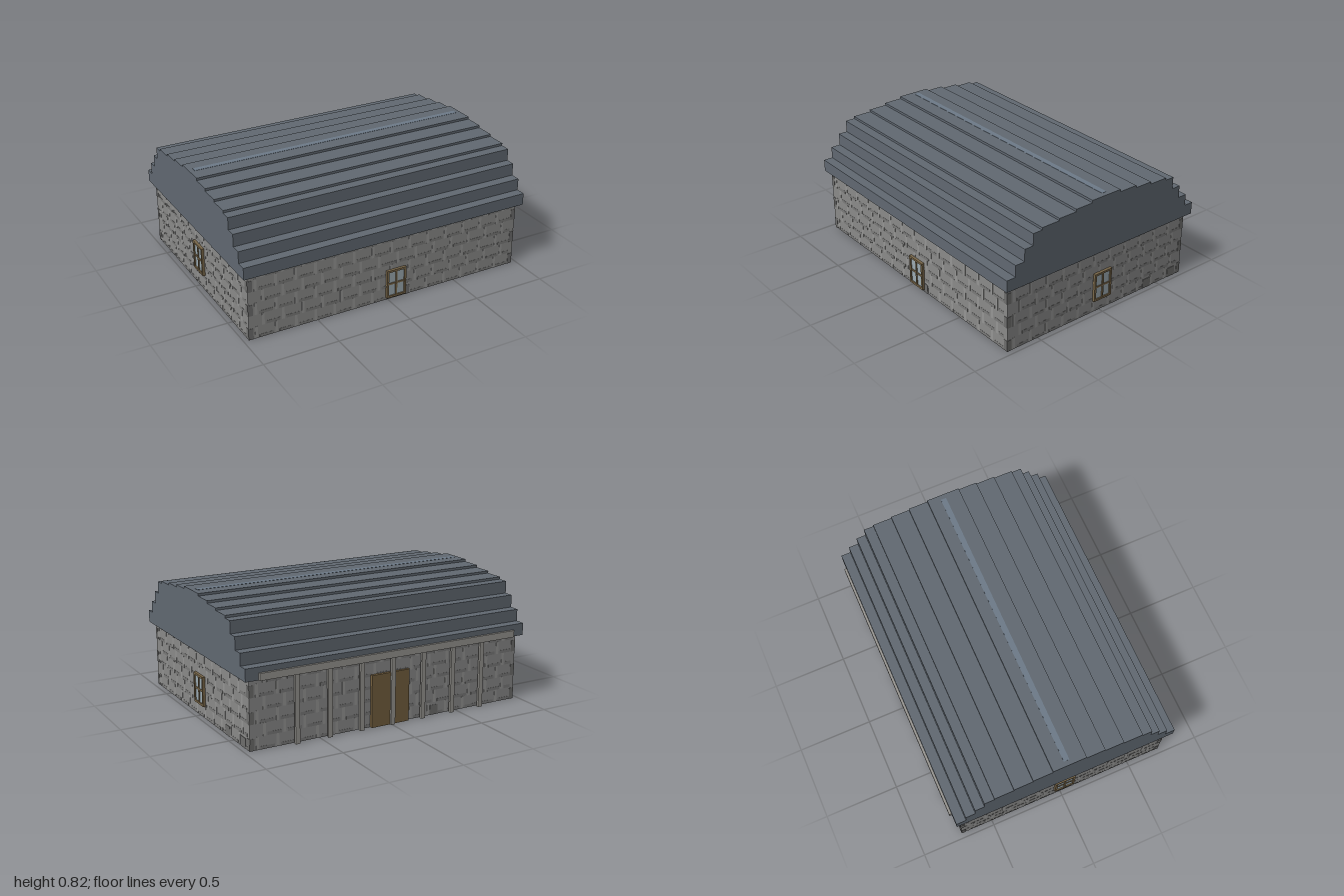
import * as THREE from 'three';

const mat = (color) => new THREE.MeshStandardMaterial({ color, flatShading: true });
const M = {
  stone: mat(0x8b8b8a), course: mat(0x7b7b7a), joint: mat(0x979796), dark: mat(0x6e6e6d),
  roof: mat(0x616972), ridge: mat(0x6d7a88), wood: mat(0x7a684a), door: mat(0x75603f),
  glass: mat(0x9dabb2), timber: mat(0x999792),
};

// Box given by its minimum and maximum along each axis
function block(parent, name, material, [x0, x1], [y0, y1], [z0, z1]) {
  const mesh = new THREE.Mesh(new THREE.BoxGeometry(x1 - x0, y1 - y0, z1 - z0), material);
  mesh.position.set((x0 + x1) / 2, (y0 + y1) / 2, (z0 + z1) / 2);
  mesh.name = name;
  parent.add(mesh);
  return mesh;
}

const X = 0.965, ZF = 0.733, ZB = -0.717, EAVE = 0.44, ROW = 0.082;

// Faintly raised masonry on a wall facing local +z, centred on local x = 0
function masonry(width) {
  const g = new THREE.Group();
  g.name = 'masonry';
  const half = width / 2, n = Math.round((width - 0.06) / 0.13), pitch = (width - 0.06) / n;
  for (let r = 0; r < 6; r++) {
    const y = r * ROW, top = Math.min(y + ROW, EAVE);
    const shift = r % 2 ? 0.5 : 0.15;
    for (let i = 0; i < n; i++) {
      const x = -half + 0.03 + (i + shift) * pitch;
      block(g, 'uprightJoint', M.joint, [x - 0.009, x + 0.009], [y, top], [0, 0.0015]);
      const end = Math.min(x + pitch - 0.02, half - 0.03);
      if (end > x + 0.03) block(g, 'courseJoint', M.course, [x + 0.02, end], [y, Math.min(y + 0.02, top)], [0, 0.001]);
    }
    // Darker corner stones on alternate courses
    if (r % 2 === 0) {
      for (const s of [-1, 1]) {
        const x = s * (half - 0.015);
        block(g, 'cornerStone', M.dark, [x - 0.015, x + 0.015], [y, y + 0.075], [0, 0.002]);
      }
    }
  }
  return g;
}

// Four-pane window facing local +z, centred on its origin
function paneWindow() {
  const g = new THREE.Group();
  g.name = 'window';
  const w = 0.07, h = 0.098, b = 0.014, d = [-0.002, 0.018];
  for (const s of [-1, 1]) {
    const x = s * (w - b / 2), y = s * (h - b / 2);
    block(g, 'frameStile', M.wood, [x - b / 2, x + b / 2], [-h, h], d);
    block(g, 'frameRail', M.wood, [-w + b, w - b], [y - b / 2, y + b / 2], d);
  }
  block(g, 'uprightBar', M.wood, [-0.006, 0.006], [-h + b, h - b], [0, 0.016]);
  block(g, 'crossBar', M.wood, [-w + b, w - b], [-0.006, 0.006], [0, 0.015]);
  block(g, 'glass', M.glass, [-w + b, w - b], [-h + b, h - b], [0, 0.01]);
  return g;
}

// Stepped barrel roof, extruded along the length of the building
function steppedRoof() {
  const steps = [ // front z, back z, top y
    [0.766, -0.75, 0.52], [0.702, -0.685, 0.598], [0.636, -0.62, 0.68], [0.574, -0.557, 0.76],
    [0.508, -0.49, 0.776], [0.379, -0.361, 0.791], [0.25, -0.234, 0.807], [0.123, -0.102, 0.823],
  ];
  const front = [], back = [];
  let y = EAVE;
  for (const [zf, zb, top] of steps) {
    front.push([-zf, y], [-zf, top]);
    back.push([-zb, y], [-zb, top]);
    y = top;
  }
  const outline = [...back, ...front.reverse()].map(([a, b]) => new THREE.Vector2(a, b));
  const geo = new THREE.ExtrudeGeometry(new THREE.Shape(outline), { depth: 2, bevelEnabled: false });
  geo.translate(0, 0, -1).rotateY(Math.PI / 2);
  const mesh = new THREE.Mesh(geo, M.roof);
  mesh.name = 'steppedRoof';
  return mesh;
}

export function createModel() {
  const model = new THREE.Group();
  model.name = 'stoneBarn';

  block(model, 'walls', M.stone, [-X, X], [0, EAVE + 0.01], [ZB, ZF]);
  model.add(steppedRoof());
  block(model, 'ridgeStrip', M.ridge, [-0.968, 0.968], [0.81, 0.8245], [-0.017, 0.02]);

  // Each side: wall position, turn, wall width and window centre
  const midZ = (ZF + ZB) / 2, depth = ZF - ZB;
  const sides = [
    { p: [0, 0, ZF], turn: 0, width: 2 * X, win: [0.055, 0.114] },
    { p: [X, 0, midZ], turn: Math.PI / 2, width: depth, win: [0.02, 0.18] },
    { p: [-X, 0, midZ], turn: -Math.PI / 2, width: depth, win: [0.012, 0.213] },
    { p: [0, 0, ZB], turn: Math.PI, width: 2 * X },
  ];
  for (const { p, turn, width, win } of sides) {
    const side = new THREE.Group();
    side.name = 'wallFace';
    side.position.set(...p);
    side.rotation.y = turn;
    side.add(masonry(width));
    if (win) {
      const w = paneWindow();
      w.position.set(win[0], win[1], 0);
      side.add(w);
    }
    model.add(side);
  }

  // Odd dark stones at the foot of the walls
  block(model, 'footStone', M.dark, [0.125, 0.16], [0, 0.065], [ZF, ZF + 0.003]);
  for (const z of [-0.413, -0.635]) {
    block(model, 'footStone', M.dark, [X, X + 0.003], [0, 0.065], [z - 0.033, z + 0.033]);
  }
  block(model, 'footStone', M.dark, [-0.36, -0.3], [0, 0.065], [ZB - 0.003, ZB]);

  // Double door, posts and the beam under the rear eave
  block(model, 'leftDoor', M.door, [0.007, 0.142], [0, 0.34], [-0.737, ZB]);
  block(model, 'rightDoor', M.door, [-0.13, 0.003], [0, 0.34], [-0.735, ZB]);
  for (let i = -3; i <= 3; i++) {
    const x = i * 0.223 - 0.006;
    block(model, 'post', M.timber, [x - 0.015, x + 0.015], [0, EAVE + 0.005], [-0.749, -0.733]);
  }
  block(model, 'eaveBeam', M.timber, [-0.917, 0.915], [EAVE, 0.485], [-0.766, -0.733]);

  return model;
}
